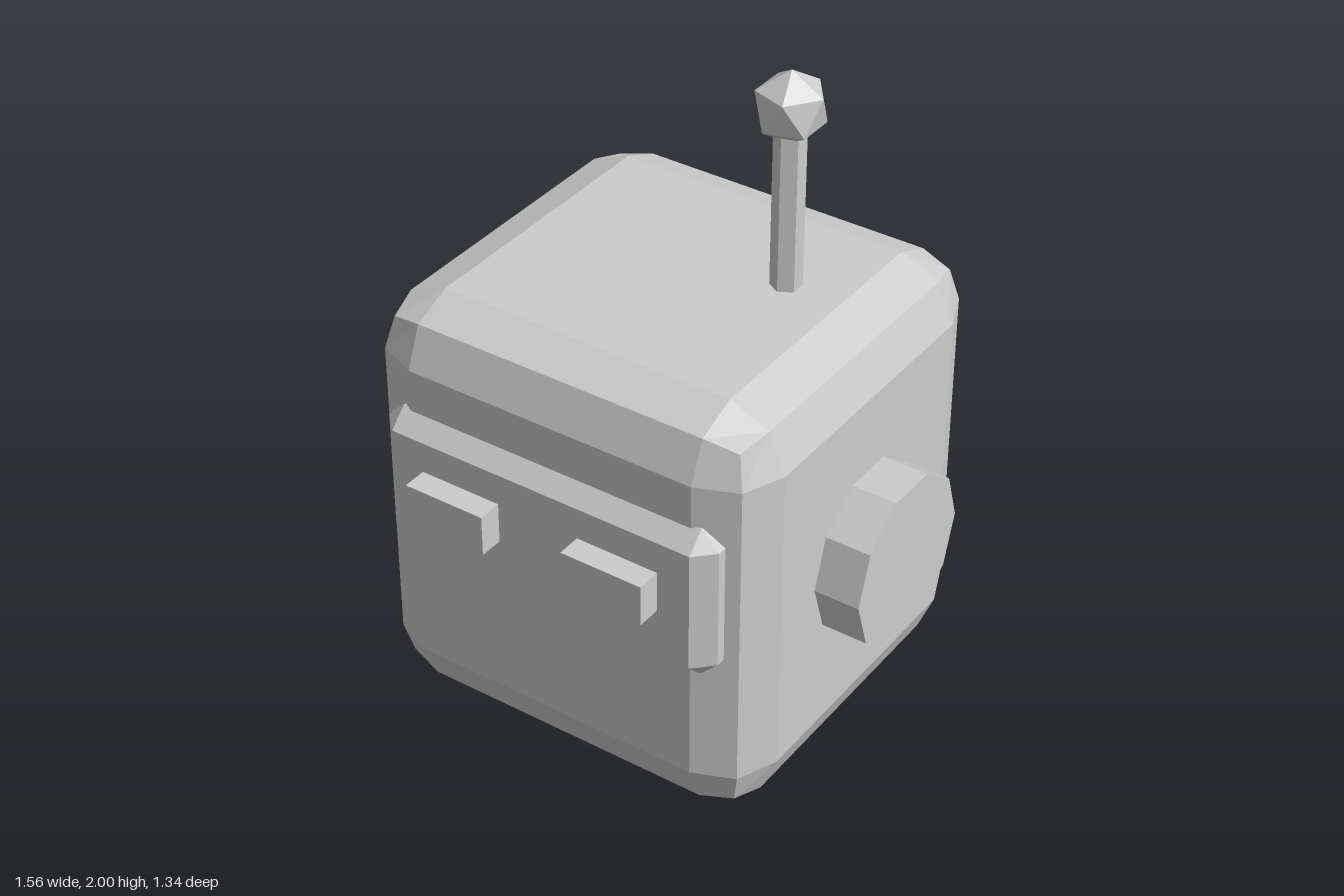
import * as THREE from 'three';
import { RoundedBoxGeometry } from 'three/addons/geometries/RoundedBoxGeometry.js';
import { ConvexGeometry } from 'three/addons/geometries/ConvexGeometry.js';

// Box with every edge cut at 45 degrees
function chamferedBox(w, h, d, c) {
  const points = [];
  for (const x of [-w / 2, w / 2]) for (const y of [-h / 2, h / 2]) for (const z of [-d / 2, d / 2]) {
    const corner = [x, y, z];
    for (let axis = 0; axis < 3; axis++) {
      const p = corner.map((v, i) => (i === axis ? v : v - Math.sign(v) * c));
      points.push(new THREE.Vector3(...p));
    }
  }
  return new ConvexGeometry(points);
}

export function createModel() {
  const model = new THREE.Group();
  model.name = 'robotHead';
  const grey = new THREE.MeshStandardMaterial({ color: 0xcccccc, flatShading: true });
  grey.name = 'lightGrey';

  function add(name, geometry, x, y, z) {
    const mesh = new THREE.Mesh(geometry, grey);
    mesh.name = name;
    mesh.position.set(x, y, z);
    model.add(mesh);
    return mesh;
  }

  // Head block with rounded edges
  add('head', new RoundedBoxGeometry(1.28, 1.335, 1.215, 1, 0.175), 0, 0.6675, -0.0625);

  // Face plate set into the front
  add('visor', chamferedBox(1.1, 0.49, 0.17, 0.056), 0, 0.788, 0.51);

  // Eyes and ears, mirrored
  for (const [side, s] of [['left', 1], ['right', -1]]) {
    add(side + 'Eye', new THREE.BoxGeometry(0.26, 0.127, 0.12), s * 0.262, 0.8155, 0.61);
    const ear = new THREE.CylinderGeometry(0.26, 0.26, 0.2, 10);
    ear.rotateZ(Math.PI / 2);
    add(side + 'Ear', ear, s * 0.68, 0.67, -0.0595);
  }

  // Antenna rod and faceted ball standing on one corner
  add('antennaRod', new THREE.CylinderGeometry(0.046, 0.046, 0.56, 6), 0.289, 1.56, -0.174);
  const ball = new THREE.IcosahedronGeometry(0.109, 0);
  ball.rotateZ(-Math.atan(2 / (1 + Math.sqrt(5))));
  add('antennaBall', ball, 0.289, 1.891, -0.174);

  return model;
}
